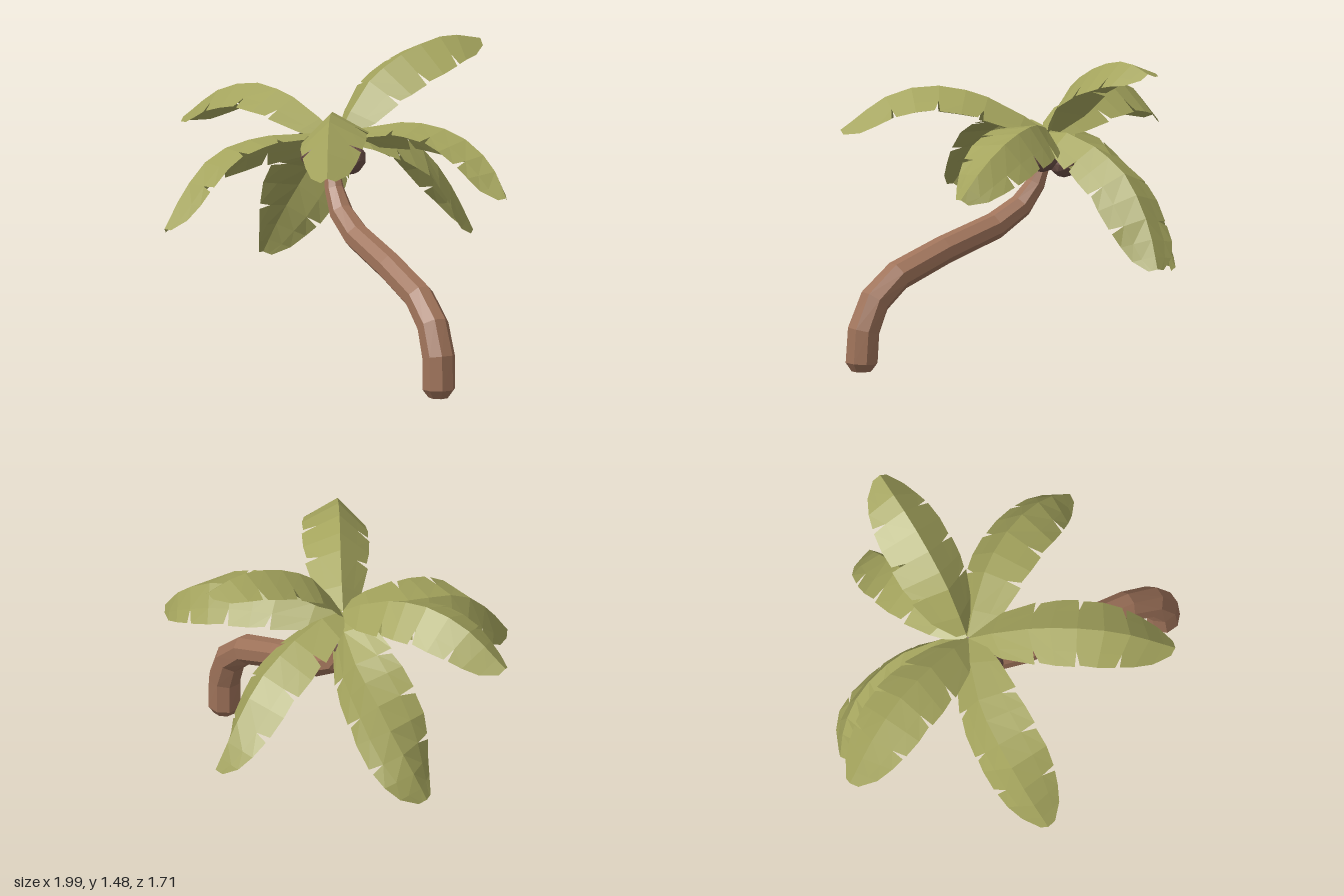
import * as THREE from 'three';

const V = (p) => new THREE.Vector3(...p);
const UP = new THREE.Vector3(0, 1, 0);

function build(pos, idx) {
  const g = new THREE.BufferGeometry();
  g.setAttribute('position', new THREE.Float32BufferAttribute(pos, 3));
  g.setIndex(idx);
  g.computeVertexNormals();
  return g;
}

// Eight-sided tube swept along centres, with a radius for each ring
function trunkGeometry(rings) {
  const n = 8, pos = [], idx = [];
  const c = rings.map(([x, y, z]) => V([x, y, z]));
  rings.forEach(([, , , radius], i) => {
    const T = c[Math.min(i + 1, c.length - 1)].clone().sub(c[i ? i - 1 : 0]).normalize();
    const B = new THREE.Vector3(0, 0, 1).addScaledVector(T, -T.z).normalize();
    const A = B.clone().cross(T);
    for (let j = 0; j < n; j++) {
      const a = ((j + 0.5) / n) * Math.PI * 2;
      const p = c[i].clone().addScaledVector(A, radius * Math.cos(a)).addScaledVector(B, radius * Math.sin(a));
      pos.push(p.x, p.y, p.z);
    }
  });
  const last = (rings.length - 1) * n;
  for (let i = 0; i < last; i += n)
    for (let j = 0; j < n; j++) {
      const k = (j + 1) % n;
      idx.push(i + j, i + k, i + n + k, i + j, i + n + k, i + n + j);
    }
  for (let j = 1; j < n - 1; j++) idx.push(0, j + 1, j, last, last + j, last + j + 1);
  return build(pos, idx);
}

// Leaf rows: position along the ridge, half width, 1 where the edge is torn
const ROWS = [
  [0, 0.05, 0], [0.12, 0.14, 0], [0.3, 0.19, 1], [0.4, 0.2, 0], [0.52, 0.205, 1],
  [0.64, 0.2, 0], [0.76, 0.185, 1], [0.86, 0.155, 0], [0.94, 0.115, 0], [1, 0.045, 0],
];

// Folded leaf: two halves hang from a curved ridge, with V-shaped tears
function leafGeometry(ridge, fold, roll) {
  const curve = new THREE.CatmullRomCurve3(ridge.map(V));
  const pos = [], idx = [];
  const at = (s, w, side) => {
    const p = curve.getPointAt(s);
    const T = curve.getTangentAt(s);
    const S = T.clone().cross(UP).normalize();
    const N = S.clone().cross(T);
    const a = THREE.MathUtils.degToRad(fold + side * roll);
    return p.addScaledVector(S, side * w * Math.cos(a)).addScaledVector(N, -w * Math.sin(a));
  };
  const quad = (a, b, c, d, side) => {
    const o = pos.length / 3;
    for (const p of [a, b, c, d]) pos.push(p.x, p.y, p.z);
    idx.push(...(side > 0 ? [0, 1, 2, 0, 2, 3] : [0, 2, 1, 0, 3, 2]).map((k) => o + k));
  };
  for (const side of [1, -1])
    for (let i = 0; i < ROWS.length - 1; i++) {
      const [s0, w0, t0] = ROWS[i], [s1, w1, t1] = ROWS[i + 1];
      const m0 = at(s0, w0 * 0.6, side), m1 = at(s1, w1 * 0.6, side);
      quad(at(s0, 0, side), m0, m1, at(s1, 0, side), side);
      quad(m0, at(s0 + t0 * 0.02, w0 * (1 - 0.04 * t0), side), at(s1 - t1 * 0.008, w1, side), m1, side);
    }
  return build(pos, idx);
}

export function createModel() {
  const group = new THREE.Group();
  const bark = new THREE.MeshStandardMaterial({ color: 0x9f735a, flatShading: true });
  bark.name = 'bark brown';
  const green = new THREE.MeshStandardMaterial({ color: 0xa4a45d, flatShading: true, side: THREE.DoubleSide });
  green.name = 'leaf green';
  const shell = new THREE.MeshStandardMaterial({ color: 0x6c5048, flatShading: true });
  shell.name = 'coconut brown';
  const add = (name, geometry, material) => {
    const mesh = new THREE.Mesh(geometry, material);
    mesh.name = name;
    group.add(mesh);
    return mesh;
  };

  // Leaning trunk: x, y, z, radius
  add('trunk', trunkGeometry([
    [0.92, 0, 0.1, 0.05], [0.92, 0.04, 0.1, 0.08], [0.912, 0.195, 0.095, 0.08],
    [0.852, 0.335, 0.085, 0.077], [0.72, 0.445, 0.07, 0.073], [0.45, 0.545, 0.05, 0.069],
    [0.15, 0.635, 0.03, 0.065], [0.0, 0.72, 0.015, 0.058], [-0.08, 0.82, 0.0, 0.047],
    [-0.13, 0.95, -0.015, 0.032], [-0.135, 1.04, -0.03, 0.025],
  ]), bark);

  // Coconuts: x, y, z, radius
  [[-0.1, 1.0, 0.1, 0.072], [-0.06, 0.965, -0.075, 0.08], [-0.19, 0.92, -0.08, 0.072]].forEach(([x, y, z, r], i) => {
    add('coconut' + (i + 1), new THREE.IcosahedronGeometry(r, 1), shell).position.set(x, y, z);
  });

  // Leaves: name, fold angle, roll, ridge points from crown to tip
  const leaves = [
    ['backUpperLeaf', 31, 9, [[-0.12, 1.08, -0.06], [-0.11, 1.29, -0.2], [-0.1, 1.4, -0.36], [-0.09, 1.47, -0.55], [-0.085, 1.485, -0.68], [-0.07, 1.45, -0.85]]],
    ['backLowerLeaf', 31, 6, [[-0.12, 1.07, -0.05], [-0.13, 1.08, -0.23], [-0.145, 1.02, -0.4], [-0.155, 0.93, -0.57], [-0.155, 0.81, -0.68], [-0.15, 0.67, -0.77], [-0.13, 0.5, -0.85]]],
    ['rightLowerLeaf', 26, 44, [[-0.12, 1.06, -0.05], [-0.25, 1.02, -0.14], [-0.38, 0.955, -0.19], [-0.5, 0.875, -0.21], [-0.6, 0.785, -0.21], [-0.68, 0.675, -0.2], [-0.76, 0.535, -0.165], [-0.82, 0.36, -0.11]]],
    ['rightUpperLeaf', 33, 8, [[-0.12, 1.07, -0.04], [-0.29, 1.18, 0], [-0.45, 1.235, 0.04], [-0.6, 1.255, 0.08], [-0.8, 1.2, 0.15], [-1, 1.035, 0.23]]],
    ['frontLeaf', 30, 32, [[-0.12, 1.07, -0.04], [-0.22, 1.085, 0.13], [-0.29, 1.07, 0.35], [-0.31, 1.015, 0.55], [-0.305, 0.88, 0.71], [-0.28, 0.7, 0.855]]],
    ['leftFrontLeaf', 37, 9, [[-0.12, 1.07, -0.04], [0.05, 1.21, 0.09], [0.27, 1.295, 0.27], [0.46, 1.26, 0.42], [0.66, 1.085, 0.57]]],
    ['leftBackLeaf', 32, -24, [[-0.12, 1.07, -0.05], [0.05, 1.14, -0.2], [0.25, 1.155, -0.325], [0.45, 1.105, -0.4], [0.62, 1.0, -0.43], [0.74, 0.87, -0.425]]],
  ];
  for (const [name, fold, roll, ridge] of leaves) add(name, leafGeometry(ridge, fold, roll), green);

  return group;
}
